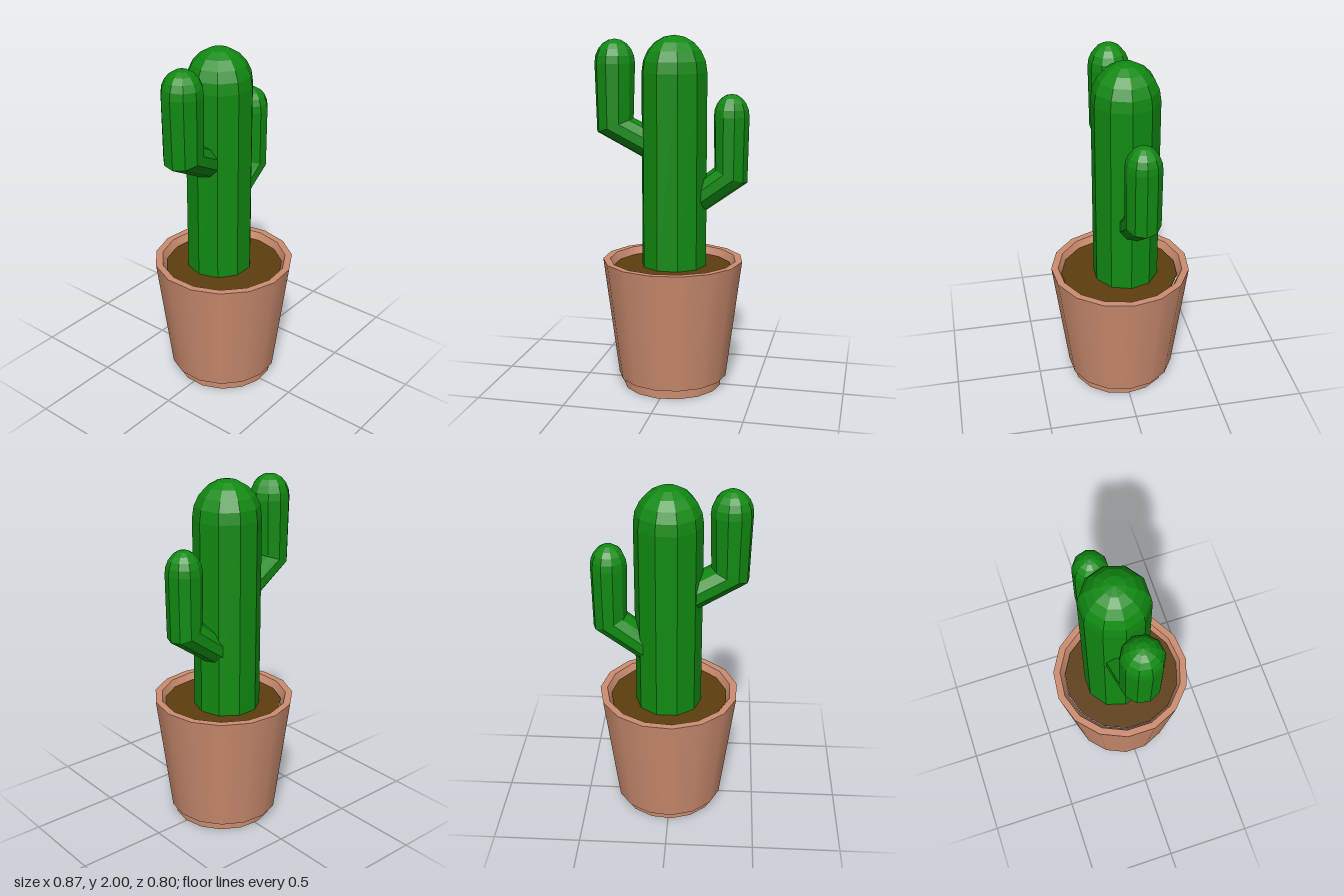
import * as THREE from 'three';

const SIDES = 10;

const green = new THREE.MeshStandardMaterial({ color: 0x118a12 });
green.name = 'cactus green';
green.flatShading = true;
const clay = new THREE.MeshStandardMaterial({ color: 0xcb8c6f });
clay.name = 'terracotta';
const earth = new THREE.MeshStandardMaterial({ color: 0x5d3d0e });
earth.name = 'soil brown';

function named(name, geometry, material) {
  const mesh = new THREE.Mesh(geometry, material);
  mesh.name = name;
  return mesh;
}

// Ring: o = offset along the arm direction, y = height, hx/hy = half reach
// along that direction and upward (a slanted ring), w = half width across.
const ring = (o, y, hx, hy = 0, w = hx) => ({ o, y, hx, hy, w });

// Rings of a rounded cap, from its rim up to the tip
function cap(o, y, r, h, steps = 5) {
  const rings = [];
  for (let i = 0; i <= steps; i++) {
    const t = (i / steps) * Math.PI / 2;
    rings.push(ring(o, y + h * Math.sin(t), r * Math.max(Math.cos(t), 1e-4)));
  }
  return rings;
}

// Skin a stalk through its rings; (cx, cz) is the origin, yaw turns the direction
function stalk(cx, cz, dx, dz, rings) {
  const pos = [], index = [];
  for (const { o, y, hx, hy, w } of rings) {
    for (let j = 0; j < SIDES; j++) {
      const a = (j / SIDES) * Math.PI * 2;
      const u = o + hx * Math.cos(a), v = w * Math.sin(a);
      pos.push(cx + dx * u + dz * v, y + hy * Math.cos(a), cz + dz * u - dx * v);
    }
  }
  for (let i = 0; i < rings.length - 1; i++) {
    for (let j = 0; j < SIDES; j++) {
      const k = (j + 1) % SIDES;
      const a = i * SIDES + j, b = i * SIDES + k;
      index.push(a, b, b + SIDES, a, b + SIDES, a + SIDES);
    }
  }
  const g = new THREE.BufferGeometry();
  g.setAttribute('position', new THREE.Float32BufferAttribute(pos, 3));
  g.setIndex(index);
  const flat = g.toNonIndexed();
  flat.computeVertexNormals();
  return flat;
}

// One smooth band of the pot; separate bands keep the edges sharp
function band(name, r0, y0, r1, y1, z = 0) {
  const points = [new THREE.Vector2(r0, y0), new THREE.Vector2(r1, y1)];
  const mesh = named(name, new THREE.LatheGeometry(points, 15, Math.PI / 2), clay);
  mesh.position.set(0.01, 0, z);
  return mesh;
}

export function createModel() {
  const model = new THREE.Group();
  model.name = 'pottedCactus';

  // Pot
  const pot = new THREE.Group();
  pot.name = 'pot';
  pot.add(
    band('potFootBottom', 0, 0, 0.284, 0, 0.008),
    band('potFoot', 0.284, 0, 0.284, 0.056, 0.008),
    band('potUnderside', 0.25, 0.055, 0.313, 0.055),
    band('potWall', 0.313, 0.055, 0.4, 0.74),
    band('potRim', 0.4, 0.74, 0.36, 0.74),
    band('potInnerWall', 0.36, 0.74, 0.333, 0.68),
  );
  model.add(pot);

  // Soil
  const soil = named('soil', new THREE.CylinderGeometry(0.337, 0.325, 0.04, 15, 1, false, Math.PI / 2), earth);
  soil.position.set(0.01, 0.68, 0.005);
  model.add(soil);

  // Trunk with rounded top
  const cactus = new THREE.Group();
  cactus.name = 'cactus';
  cactus.add(named('trunk', stalk(0.01, -0.03, 1, 0, [
    ring(0, 0.68, 0.187), ...cap(0, 1.795, 0.187, 0.205),
  ]), green));

  // Long arm, turned slightly forward
  cactus.add(named('rightArm', stalk(-0.323, 0, -0.991, 0.135, [
    ring(-0.27, 1.355, 0.002, -0.1, 0.108),
    ring(0, 1.5, 0.104, -0.04, 0.111),
    ...cap(0, 1.845, 0.114, 0.133),
  ]), green));

  // Short arm
  cactus.add(named('leftArm', stalk(0.33, -0.06, 1, 0, [
    ring(-0.25, 1.04, 0.002, -0.1, 0.098),
    ring(0, 1.226, 0.094, -0.04, 0.099),
    ...cap(0, 1.555, 0.1, 0.125),
  ]), green));
  model.add(cactus);

  return model;
}
